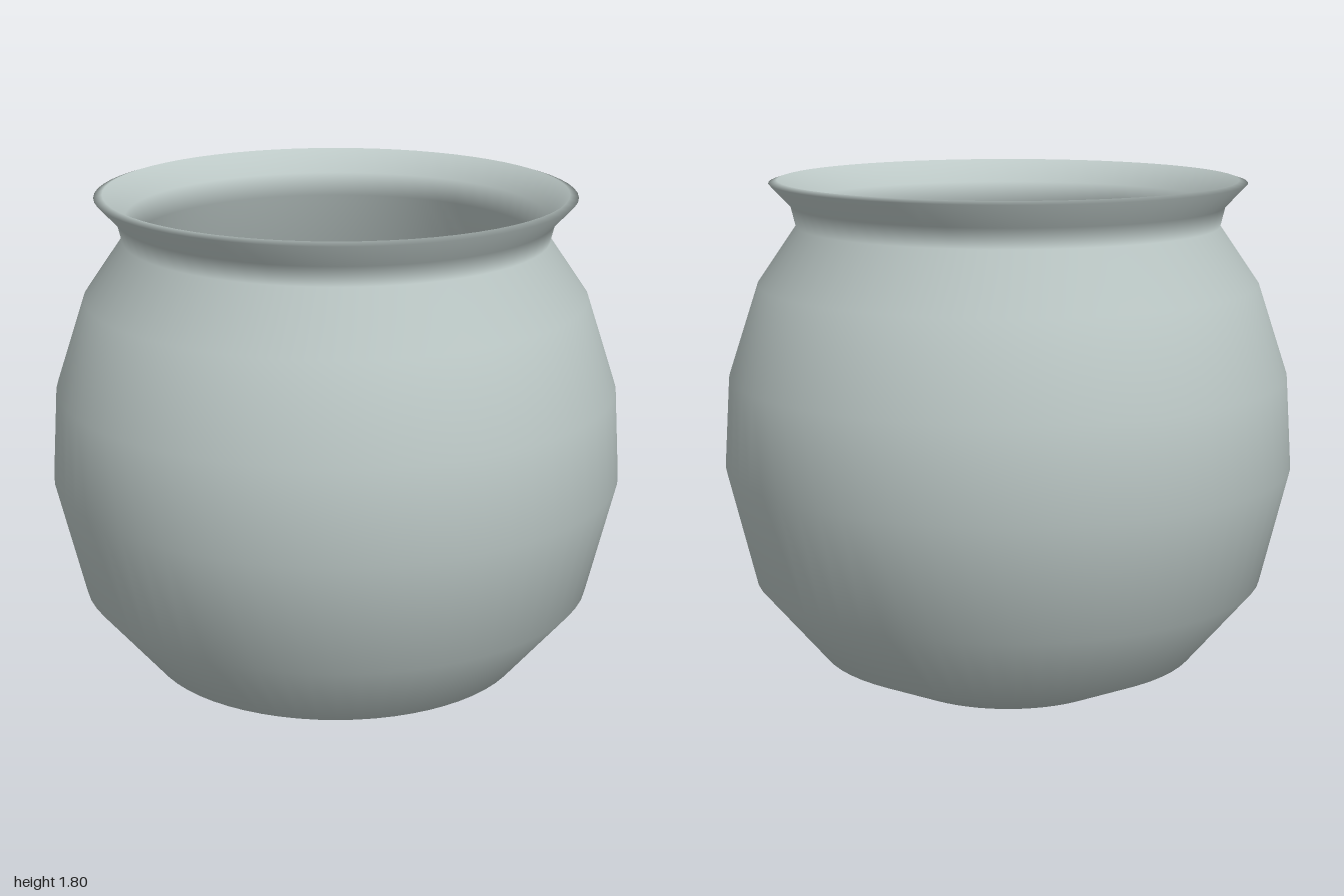
import * as THREE from 'three';

const SEGMENTS = 64;

export function createModel() {
  const model = new THREE.Group();
  model.name = 'waterPot';

  const stone = new THREE.MeshStandardMaterial({ color: 0xbcc8c6 });
  stone.name = 'pale grey stone';
  const blue = new THREE.MeshStandardMaterial({ color: 0x95c2cb });
  blue.name = 'water blue';

  // Pot wall: base, rounded belly, narrow neck, flared lip, then down the inside
  const profile = [
    [0, 0], [0.4, 0], [0.67, 0.12], [0.9, 0.39], [1, 0.8], [0.98, 1.12],
    [0.875, 1.44], [0.738, 1.64], [0.755, 1.71], [0.83, 1.79], [0.8, 1.8],
    [0.725, 1.72], [0.7, 1.64], [0.83, 1.42], [0.92, 1.12], [0.94, 0.8],
    [0.84, 0.42], [0.63, 0.18], [0.38, 0.06], [0, 0.06],
  ].map(([r, y]) => new THREE.Vector2(r, y));
  const pot = new THREE.Mesh(new THREE.LatheGeometry(profile, SEGMENTS), stone);
  pot.name = 'pot';

  // Flat water surface below the neck
  const water = new THREE.Mesh(new THREE.CircleGeometry(0.835, SEGMENTS), blue);
  water.name = 'water';
  water.rotation.x = -Math.PI / 2;
  water.position.y = 1.415;

  model.add(pot, water);
  return model;
}
